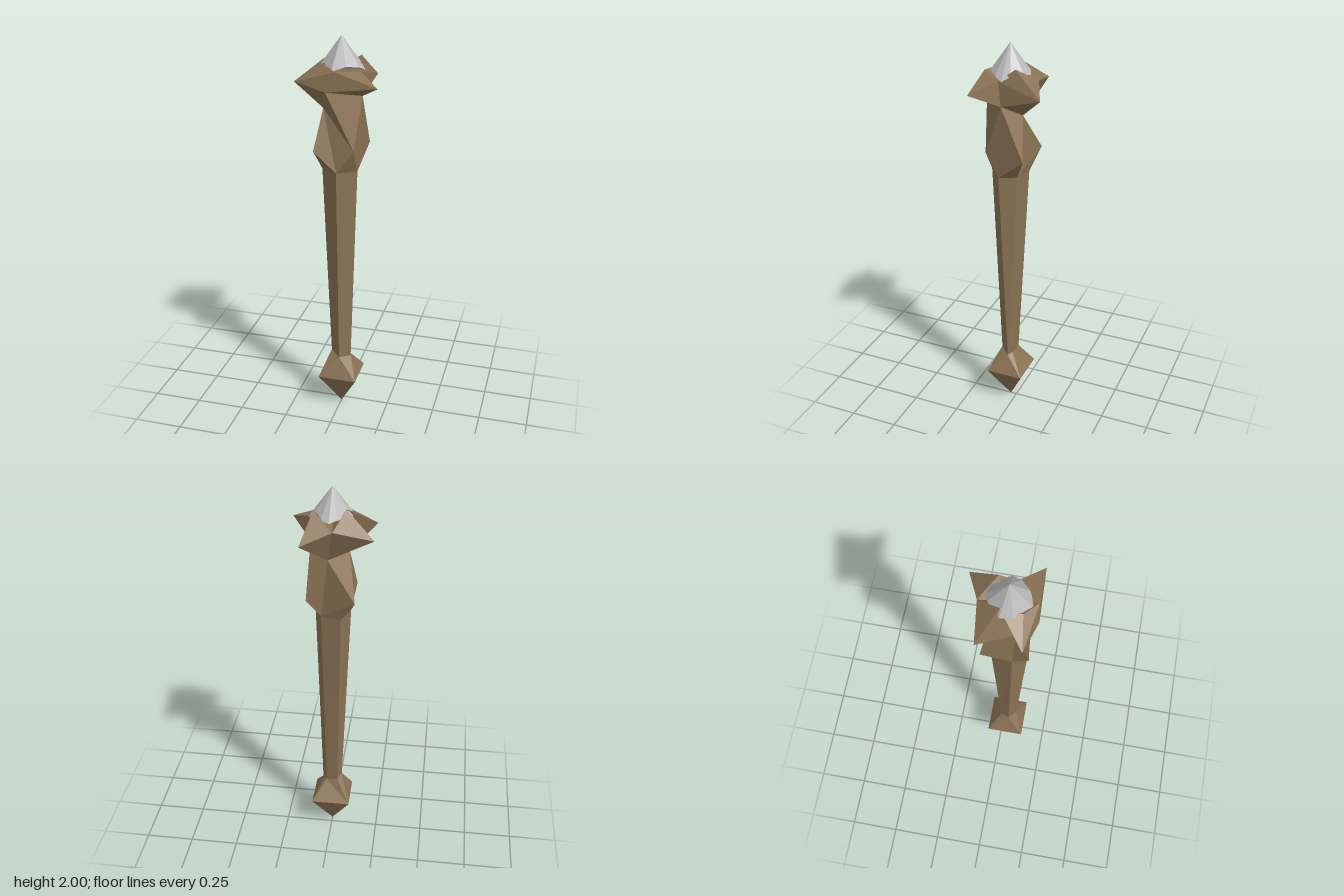
import * as THREE from 'three';

const V = (x, y, z) => new THREE.Vector3(x, y, z);

// Flat-shaded mesh from a list of corner triples
function facets(name, tris, material) {
  const g = new THREE.BufferGeometry().setFromPoints(tris);
  g.computeVertexNormals();
  const mesh = new THREE.Mesh(g, material);
  mesh.name = name;
  return mesh;
}

// Triangles joining a loop (counter-clockwise from outside) to an apex
function fan(loop, apex) {
  return loop.flatMap((p, i) => [p, loop[(i + 1) % loop.length], apex]);
}

export function createModel() {
  const group = new THREE.Group();
  group.name = 'mace';
  const wood = new THREE.MeshStandardMaterial({ color: 0x8b7355, flatShading: true, side: THREE.DoubleSide });
  wood.name = 'wood';
  const crystal = new THREE.MeshStandardMaterial({ color: 0xb8b8b8, flatShading: true, side: THREE.DoubleSide });
  crystal.name = 'crystal';

  // Five-sided shaft rings: bottom and top
  const low = [V(0, 0.3, 0.083), V(0.05, 0.29, 0.03), V(0.03, 0.3, 0.01), V(-0.03, 0.31, 0), V(-0.05, 0.32, 0.045)];
  const top = [V(0, 1.355, 0.13), V(0.088, 1.35, 0.058), V(0.05, 1.35, -0.025), V(-0.05, 1.35, -0.048), V(-0.088, 1.35, 0.062)];
  const shaft = low.flatMap((p, i) => {
    const j = (i + 1) % 5;
    return [p, low[j], top[j], p, top[j], top[i]];
  });
  group.add(facets('shaft', shaft, wood));

  // Pommel: square waist, pointed below, folded to the shaft above
  const [fl, fr, br, bl] = [V(-0.1, 0.19, 0.13), V(0.1, 0.19, 0.13), V(0.1, 0.19, -0.065), V(-0.1, 0.19, -0.065)];
  const [q0, q1, q2, q3, q4] = low;
  const pommel = [
    ...fan([fl, bl, br, fr], V(0, 0, 0.033)),
    fl, fr, q0, fr, q1, q0, fr, br, q1, br, q2, q1,
    br, bl, q2, bl, q3, q2, bl, q4, q3, bl, fl, q4, fl, q0, q4,
  ];
  group.add(facets('pommel', pommel, wood));

  // Neck points shared by the knot and the head
  const nFront = V(-0.04, 1.76, 0.168), nRight = V(0.105, 1.72, 0.035);
  const nBack = V(0.015, 1.66, -0.04), nLeft = V(-0.077, 1.66, 0.075);

  // Knot: four blunt spikes around the top of the shaft
  const [p0, p1, p2, p3, p4] = top;
  const knot = [
    [[p0, p1, nRight, nFront, nLeft], V(0.085, 1.47, 0.125)],
    [[p1, p2, nBack, nRight], V(0.115, 1.46, -0.08)],
    [[p2, p3, p4, nLeft, nBack], V(-0.12, 1.46, -0.085)],
    [[p4, p0, nLeft], V(-0.11, 1.46, 0.142)],
  ].flatMap(([loop, apex]) => fan(loop, apex));
  group.add(facets('knot', knot, wood));

  // Head: four long spikes around a hollow socket
  const uFront = V(0.005, 1.855, 0.16), uRight = V(0.1, 1.84, 0.05), uRightBack = V(0.082, 1.9, -0.03);
  const uBack = V(-0.015, 1.83, -0.107), uLeft = V(-0.068, 1.9, 0), uLeftFront = V(-0.063, 1.87, 0.1);
  const head = [
    [[nLeft, nFront, uFront, uLeftFront, uLeft], V(-0.205, 1.79, 0.122)],
    [[nFront, nRight, uRight, uFront], V(0.205, 1.79, 0.158)],
    [[nRight, nBack, uBack, uRightBack, uRight], V(0.13, 1.78, -0.17)],
    [[nBack, nLeft, uLeft, uBack], V(-0.205, 1.79, -0.085)],
    [[uFront, uRight, uRightBack, uBack, uLeft, uLeftFront], V(0, 1.83, 0.03)],
  ].flatMap(([loop, apex]) => fan(loop, apex));
  group.add(facets('spikedHead', head, wood));

  // Crystal point: irregular cone, the rim dropping with its distance from the axis
  const rim = [
    [-0.02, 0.138], [0.045, 0.113], [0.095, 0.066], [0.115, 0.027], [0.09, -0.01],
    [0.045, -0.058], [0.005, -0.074], [-0.032, -0.06], [-0.097, 0.003], [-0.09, 0.062],
  ].map(([x, z]) => V(x, 2 - 1.36 * Math.hypot(x, z - 0.03), z));
  const point = [...fan(rim, V(0, 2, 0.03)), ...fan([...rim].reverse(), V(0, 1.84, 0.03))];
  group.add(facets('crystalPoint', point, crystal));

  return group;
}
